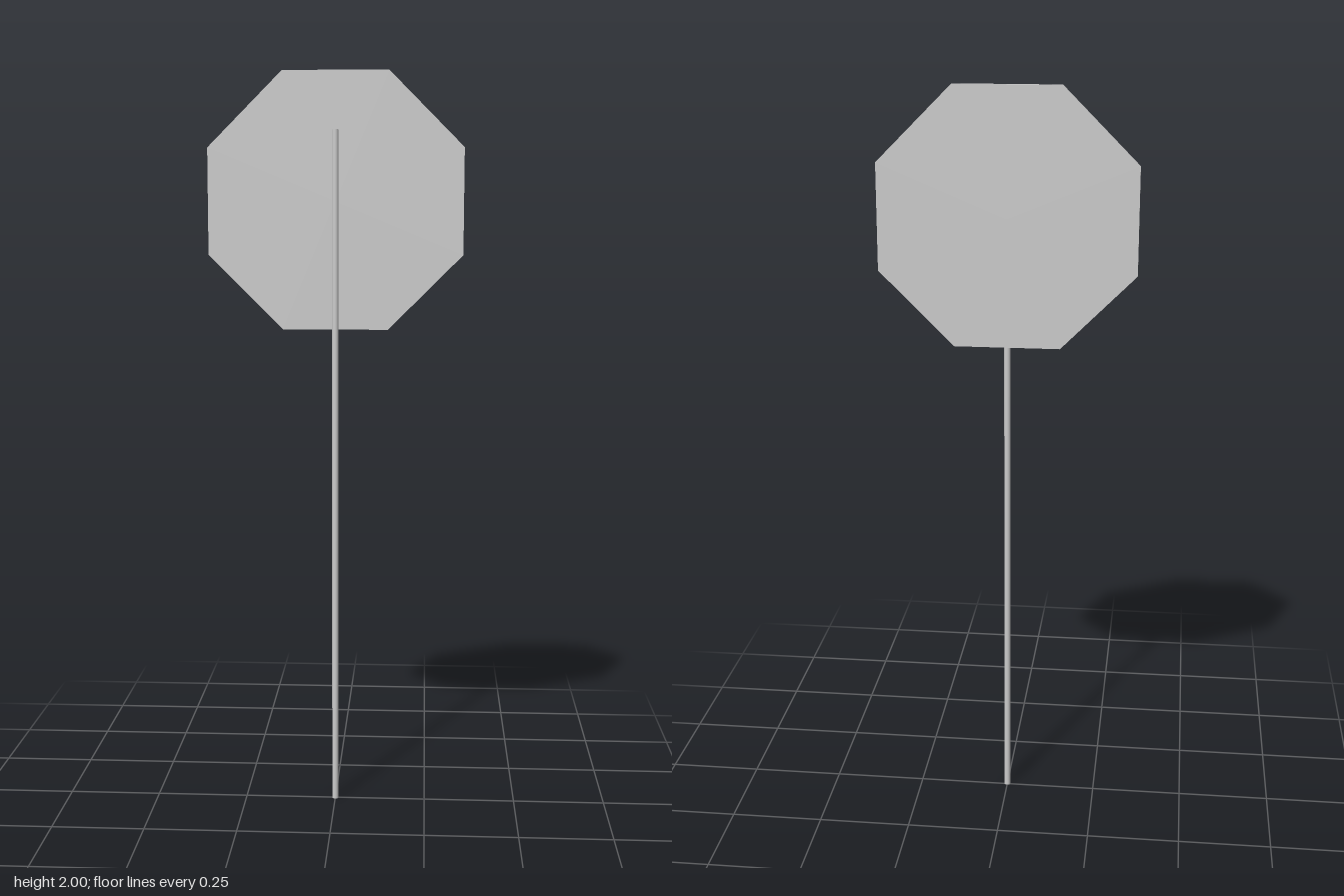
import * as THREE from 'three';

export function createModel() {
  const model = new THREE.Group();
  const material = new THREE.MeshStandardMaterial({ color: 0xcccccc, flatShading: true });

  // Thin octagonal plate with flat top and bottom edges
  const apothem = 0.34, thickness = 0.009;
  const plateRadius = apothem / Math.cos(Math.PI / 8);
  const plateGeometry = new THREE.CylinderGeometry(plateRadius, plateRadius, thickness, 8);
  plateGeometry.rotateY(Math.PI / 8).rotateX(Math.PI / 2);
  const plate = new THREE.Mesh(plateGeometry, material);
  plate.name = 'signPlate';
  plate.position.set(0, 2 - apothem, -0.0078);
  model.add(plate);

  // Slim round post running up the front of the plate
  const postHeight = 1.847, postRadius = 0.0085;
  const postMaterial = new THREE.MeshStandardMaterial({ color: 0xcccccc });
  const post = new THREE.Mesh(
    new THREE.CylinderGeometry(postRadius, postRadius, postHeight, 16), postMaterial);
  post.name = 'post';
  post.position.set(0, postHeight / 2, 0.002);
  model.add(post);

  return model;
}
